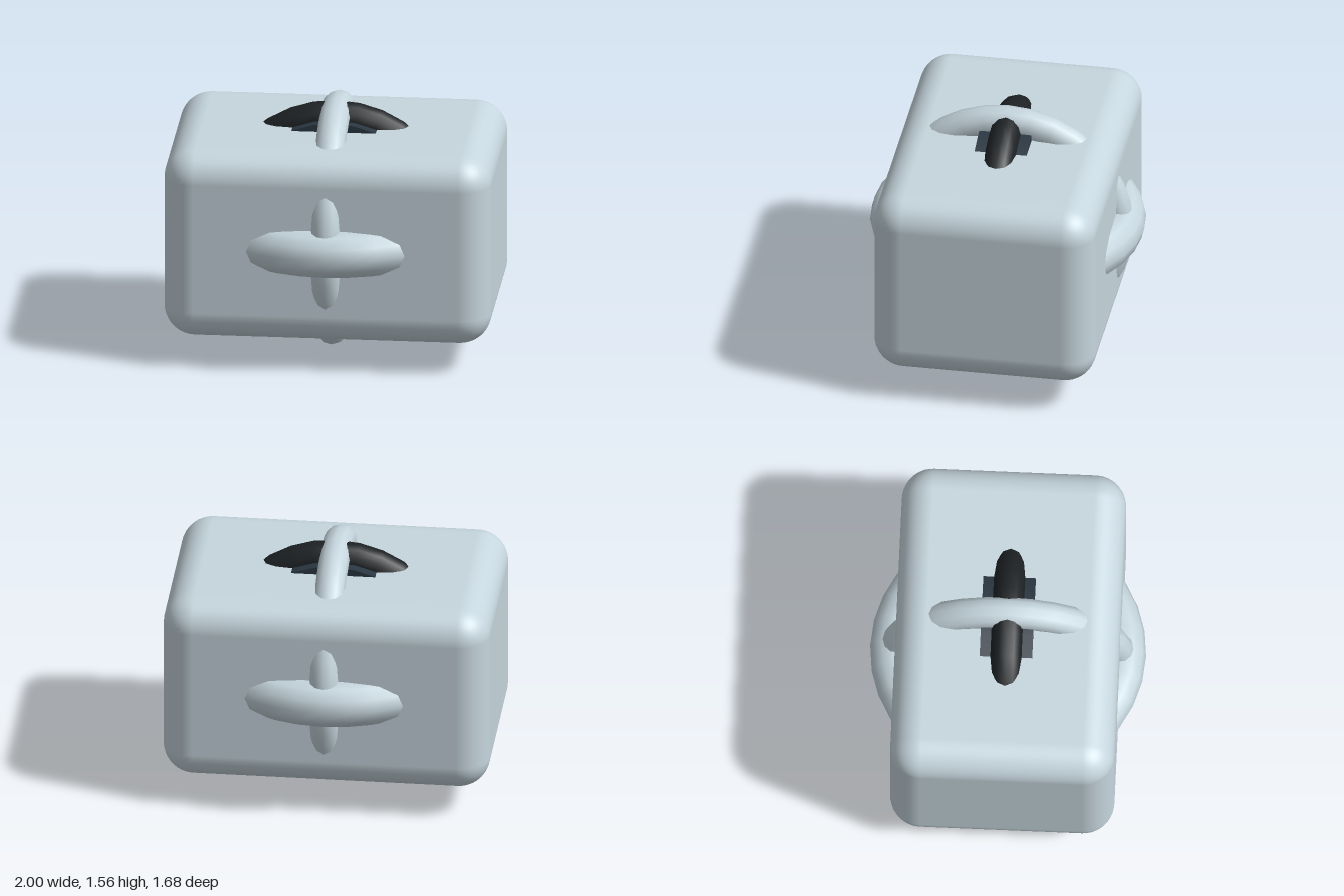
import * as THREE from 'three';
import { RoundedBoxGeometry } from 'three/addons/geometries/RoundedBoxGeometry.js';

export function createModel() {
  const group = new THREE.Group();
  const centerY = 0.783;
  const light = new THREE.MeshStandardMaterial({ color: 0xc6d6de });
  const dark = new THREE.MeshStandardMaterial({ color: 0x1e2225 });
  const slate = new THREE.MeshStandardMaterial({ color: 0x2a3742 });

  // All parts share one centre
  function add(name, geometry, material, rx = 0, ry = 0) {
    const mesh = new THREE.Mesh(geometry, material);
    mesh.name = name;
    mesh.position.y = centerY;
    mesh.rotation.set(rx, ry, 0);
    group.add(mesh);
  }

  // Ring given by its outermost radius and tube radius
  const ring = (outer, tube) => new THREE.TorusGeometry(outer - tube, tube, 12, 32);

  // Rounded block
  add('body', new RoundedBoxGeometry(2, 1.205, 1.37, 6, 0.19), light);

  // Upright wheel: dark tyre around a wider hub
  add('tyre', ring(0.752, 0.095), dark);
  add('hub', new THREE.CylinderGeometry(0.657, 0.657, 0.32, 32), slate, Math.PI / 2);

  // Rings crossing the body lengthwise and level
  add('uprightRing', ring(0.778, 0.095), light, 0, Math.PI / 2);
  add('levelRing', ring(0.842, 0.145), light, Math.PI / 2);

  return group;
}
